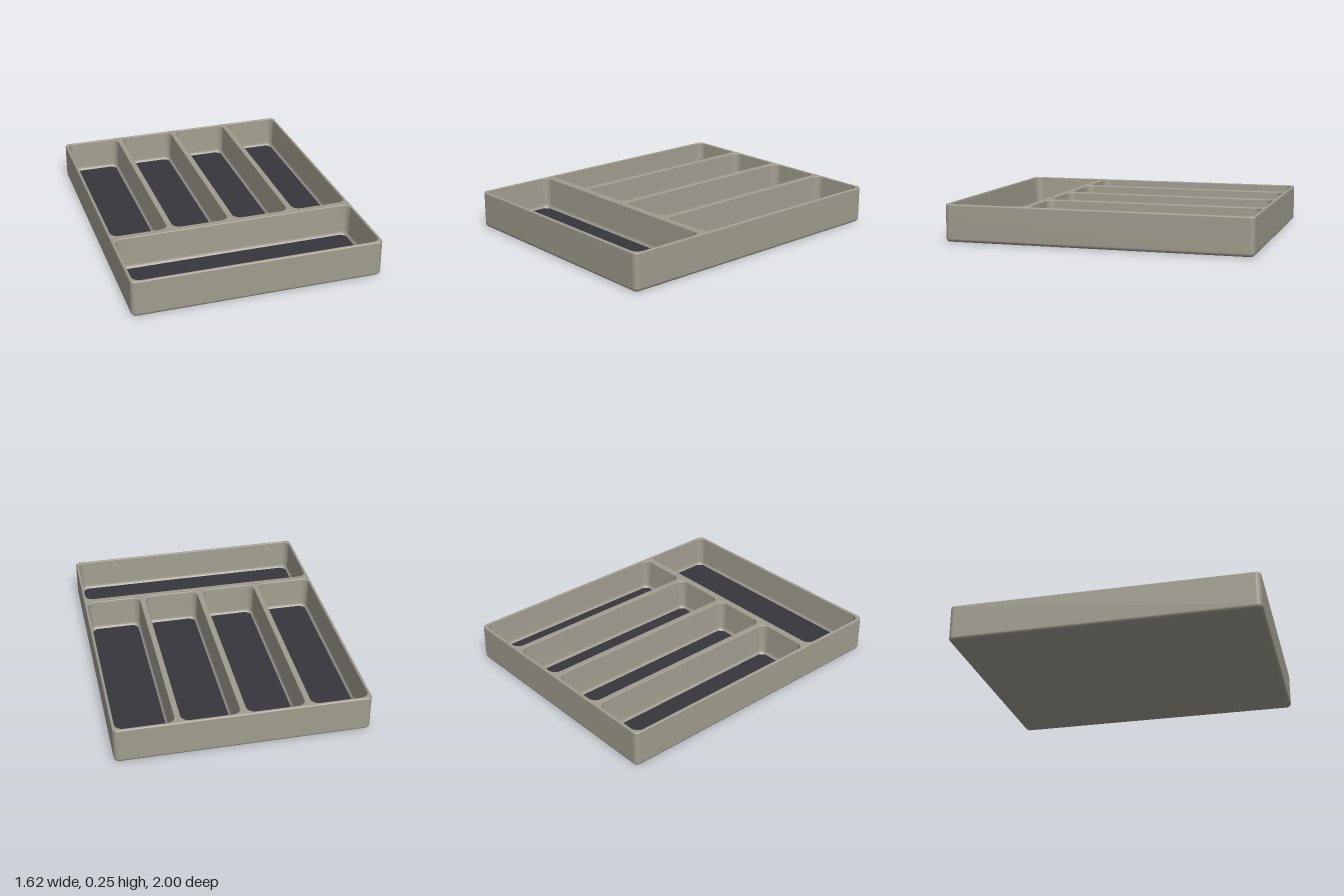
import * as THREE from 'three';

const HEIGHT = 0.245;
const OUTER = { x0: -0.81, x1: 0.81, z0: -1, z1: 1, r: 0.034 };

// Rounded rectangle outline, drawn in by `inset`, as [x, z] points
function outline(b, inset = 0, steps = 8) {
  const r = Math.max(b.r - inset, 0.006);
  const x0 = b.x0 + inset + r, x1 = b.x1 - inset - r;
  const z0 = b.z0 + inset + r, z1 = b.z1 - inset - r;
  const points = [];
  [[x1, z1], [x0, z1], [x0, z0], [x1, z0]].forEach(([cx, cz], q) => {
    for (let i = 0; i <= steps; i++) {
      const a = (q + i / steps) * Math.PI / 2;
      points.push([cx + r * Math.cos(a), cz + r * Math.sin(a)]);
    }
  });
  return points;
}

// Skin through outlines given as [inset, y]; inset null closes the skin at its centre
function loft(b, rings) {
  const pos = [], index = [];
  let n = 0;
  for (const [inset, y] of rings) {
    const pts = outline(b, inset ?? 0);
    n = pts.length;
    for (const [x, z] of pts) {
      if (inset === null) pos.push((b.x0 + b.x1) / 2, y, (b.z0 + b.z1) / 2);
      else pos.push(x, y, z);
    }
  }
  for (let k = 0; k < rings.length - 1; k++) {
    for (let j = 0; j < n; j++) {
      const a = k * n + j, c = k * n + (j + 1) % n;
      index.push(a, a + n, c + n, a, c + n, c);
    }
  }
  const geo = new THREE.BufferGeometry();
  geo.setAttribute('position', new THREE.Float32BufferAttribute(pos, 3));
  geo.setIndex(index);
  geo.computeVertexNormals();
  return geo;
}

// Quarter-round run of [inset, y] steps between two angles
function fillet(ci, cy, r, from, to, steps = 5) {
  return Array.from({ length: steps + 1 }, (_, i) => {
    const a = from + (to - from) * i / steps;
    return [ci + r * Math.cos(a), cy + r * Math.sin(a)];
  });
}

const toVectors = (pts) => pts.map(([x, z]) => new THREE.Vector2(x, -z));

export function createModel() {
  const group = new THREE.Group();
  const tray = new THREE.MeshStandardMaterial({ color: 0xa09c8e });
  tray.name = 'warm grey plastic';
  const dark = new THREE.MeshStandardMaterial({ color: 0x37363d });
  dark.name = 'charcoal mat';
  const add = (name, geo, mat) => {
    const mesh = new THREE.Mesh(geo, mat);
    mesh.name = name;
    group.add(mesh);
  };

  // Four long compartments at the back, one wide compartment in front
  const pockets = [[-0.798, -0.42], [-0.394, -0.014], [0.014, 0.394], [0.42, 0.798]]
    .map(([x0, x1]) => ({ x0, x1, z0: -0.986, z1: 0.44, r: 0.058 }));
  pockets.push({ x0: -0.798, x1: 0.798, z0: 0.475, z1: 0.986, r: 0.058 });

  // Outer shell with rounded lower and upper edges and a closed underside
  const PI = Math.PI;
  add('outerShell', loft(OUTER, [
    [null, 0],
    ...fillet(0.024, 0.024, 0.024, 1.5 * PI, PI),
    ...fillet(0.01, HEIGHT - 0.01, 0.01, PI, 0.5 * PI),
  ]), tray);

  // Flat rim and dividers with an opening for each compartment
  const rim = new THREE.Shape(toVectors(outline(OUTER, 0.01)));
  pockets.forEach((p) => rim.holes.push(new THREE.Path(toVectors(outline(p)))));
  add('rim', new THREE.ShapeGeometry(rim).rotateX(-PI / 2).translate(0, HEIGHT, 0), tray);

  pockets.forEach((p, i) => {
    // Compartment walls: soft lip, slight draft, rounded foot, floor
    add(`compartment${i + 1}`, loft(p, [
      ...fillet(0, HEIGHT - 0.006, 0.006, 0.5 * PI, 0, 4),
      ...fillet(0.048, 0.058, 0.034, PI, 1.5 * PI, 6),
      [null, 0.024],
    ]), tray);

    // Thin mat with clipped corners
    const m = 0.028, c = 0.03;
    const x0 = p.x0 + m, x1 = p.x1 - m, z0 = p.z0 + m, z1 = p.z1 - m;
    const shape = new THREE.Shape(toVectors([
      [x0 + c, z0], [x1 - c, z0], [x1, z0 + c], [x1, z1 - c],
      [x1 - c, z1], [x0 + c, z1], [x0, z1 - c], [x0, z0 + c],
    ]));
    const geo = new THREE.ExtrudeGeometry(shape, { depth: 0.008, bevelEnabled: false });
    add(`mat${i + 1}`, geo.rotateX(-PI / 2).translate(0, 0.027, 0), dark);
  });

  return group;
}
